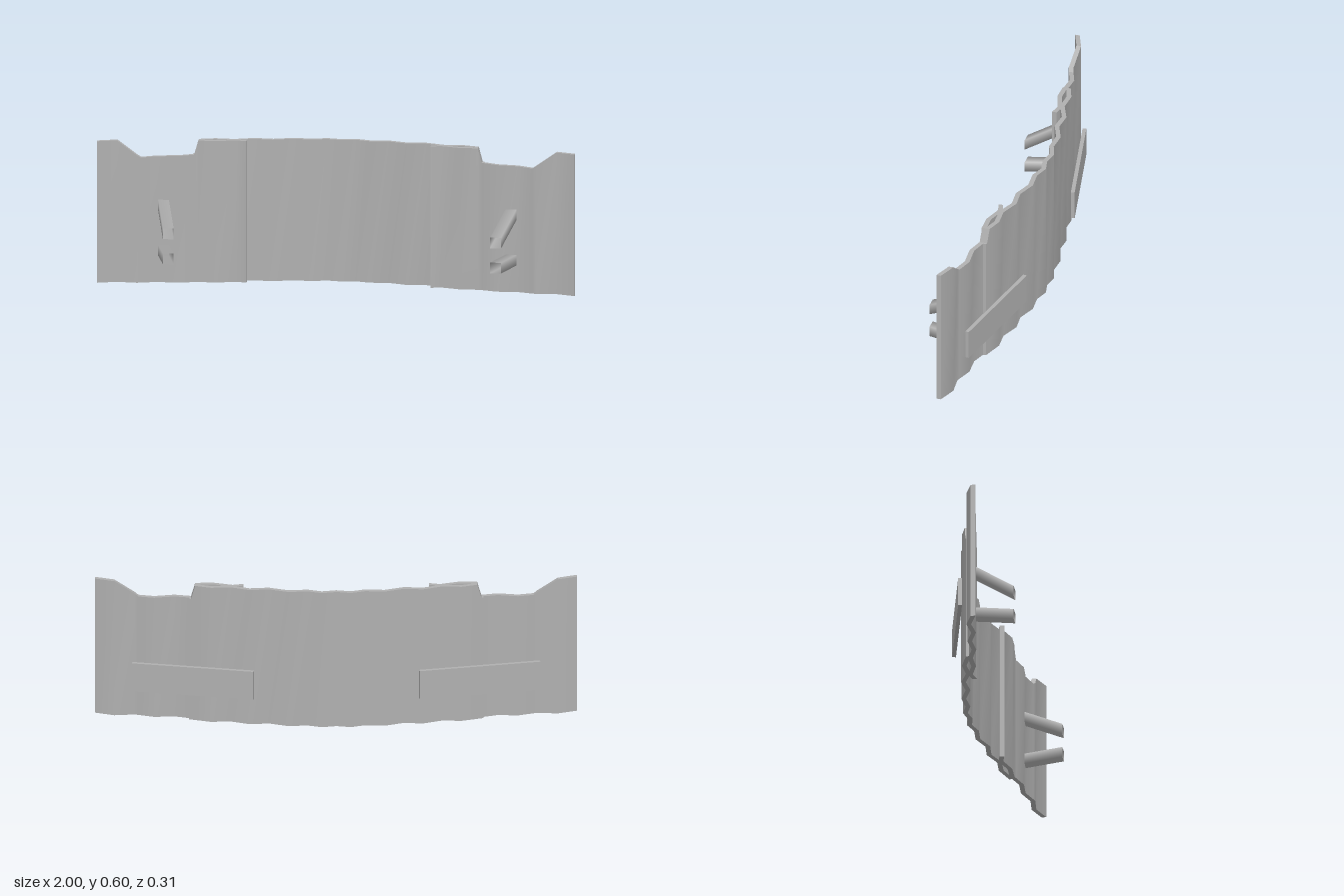
import * as THREE from 'three';
import { toCreasedNormals } from 'three/addons/utils/BufferGeometryUtils.js';

const THICK = 0.02;

// piecewise-linear lookup in a list of [x, value] pairs sorted by x
function lerpAt(list, x) {
  if (x <= list[0][0]) return list[0][1];
  for (let i = 1; i < list.length; i++) {
    const [x0, v0] = list[i - 1], [x1, v1] = list[i];
    if (x <= x1) return v0 + (v1 - v0) * (x - x0) / (x1 - x0);
  }
  return list[list.length - 1][1];
}

// top edge height, with a bent-down notch near each end
const topEdge = [[0, 0.6], [0.585, 0.6], [0.602, 0.54], [0.82, 0.53], [0.92, 0.6], [1, 0.6]];
const mirrorList = (list) => list.map(([x, v]) => [-x, v]).reverse();

// corrugated sheet standing upright along an [x, z] zigzag
function corrugatedSheet(profile) {
  const first = profile[0][0], last = profile[profile.length - 1][0];
  const xs = new Set(profile.map((p) => p[0]));
  for (const [x] of topEdge) for (const s of [x, -x]) if (s > first && s < last) xs.add(s);
  const columns = [...xs].sort((a, b) => a - b).map((x) => {
    const z = lerpAt(profile, x), y = lerpAt(topEdge, Math.abs(x)), h = THICK / 2;
    // front bottom, front top, back top, back bottom
    return [[x, 0, z + h], [x, y, z + h], [x, y, z - h], [x, 0, z - h]];
  });
  const pos = [];
  const quad = (a, b, c, d) => pos.push(...a, ...b, ...c, ...a, ...c, ...d);
  for (let i = 0; i < columns.length - 1; i++) {
    const a = columns[i], b = columns[i + 1];
    for (let k = 0; k < 4; k++) {
      const n = (k + 1) % 4;
      quad(a[k], b[k], b[n], a[n]);
    }
  }
  const s = columns[0], e = columns[columns.length - 1];
  quad(s[0], s[1], s[2], s[3]);
  quad(e[3], e[2], e[1], e[0]);
  const geo = new THREE.BufferGeometry();
  geo.setAttribute('position', new THREE.Float32BufferAttribute(pos, 3));
  return toCreasedNormals(geo, 0.6);
}

// open square tube running from a back point to a front point, cut square to z
function squareTube(back, front) {
  const dz = front[2] - back[2];
  const geo = new THREE.CylinderGeometry(0.032, 0.032, dz, 4, 1, true);
  geo.rotateY(Math.PI / 4).rotateX(Math.PI / 2);
  const shear = new THREE.Matrix4().set(
    1, 0, (front[0] - back[0]) / dz, (front[0] + back[0]) / 2,
    0, 1, (front[1] - back[1]) / dz, (front[1] + back[1]) / 2,
    0, 0, 1, (front[2] + back[2]) / 2,
    0, 0, 0, 1);
  return geo.applyMatrix4(shear);
}

export function createModel() {
  const group = new THREE.Group();
  const metal = new THREE.MeshStandardMaterial({ color: 0xb0b0b0, side: THREE.DoubleSide });
  metal.name = 'grey metal';
  const add = (name, geo) => {
    const mesh = new THREE.Mesh(geo, metal);
    mesh.name = name;
    group.add(mesh);
    return mesh;
  };

  // middle sheet, bowed backwards
  const half = [[0.06, -0.142], [0.12, -0.122], [0.2, -0.128], [0.28, -0.098],
    [0.36, -0.105], [0.44, -0.073], [0.52, -0.078], [0.61, -0.048]];
  add('middleSheet', corrugatedSheet([...mirrorList(half), [0, -0.13], ...half]));

  // side sheets overlap the front of the middle one
  const side = [[0.385, -0.055], [0.43, -0.066], [0.51, -0.04], [0.59, -0.042],
    [0.67, -0.015], [0.755, -0.02], [0.835, 0.008], [0.92, 0], [1, 0.03]];

  for (const s of [1, -1]) {
    const label = s > 0 ? 'left' : 'right';
    add(label + 'Sheet', corrugatedSheet(s > 0 ? side : mirrorList(side)));

    // tubes sticking out of the front
    add(label + 'UpperTube', squareTube([s * 0.73, 0.333, -0.02], [s * 0.685, 0.241, 0.157]));
    add(label + 'LowerTube', squareTube([s * 0.73, 0.135, -0.02], [s * 0.685, 0.135, 0.157]));

    // flat bracing plank behind
    const plank = add(label + 'Plank', new THREE.BoxGeometry(0.512, 0.125, 0.016));
    plank.position.set(s * 0.595, 0.1875, -0.097);
    plank.rotation.y = -s * 0.197;
  }
  return group;
}
